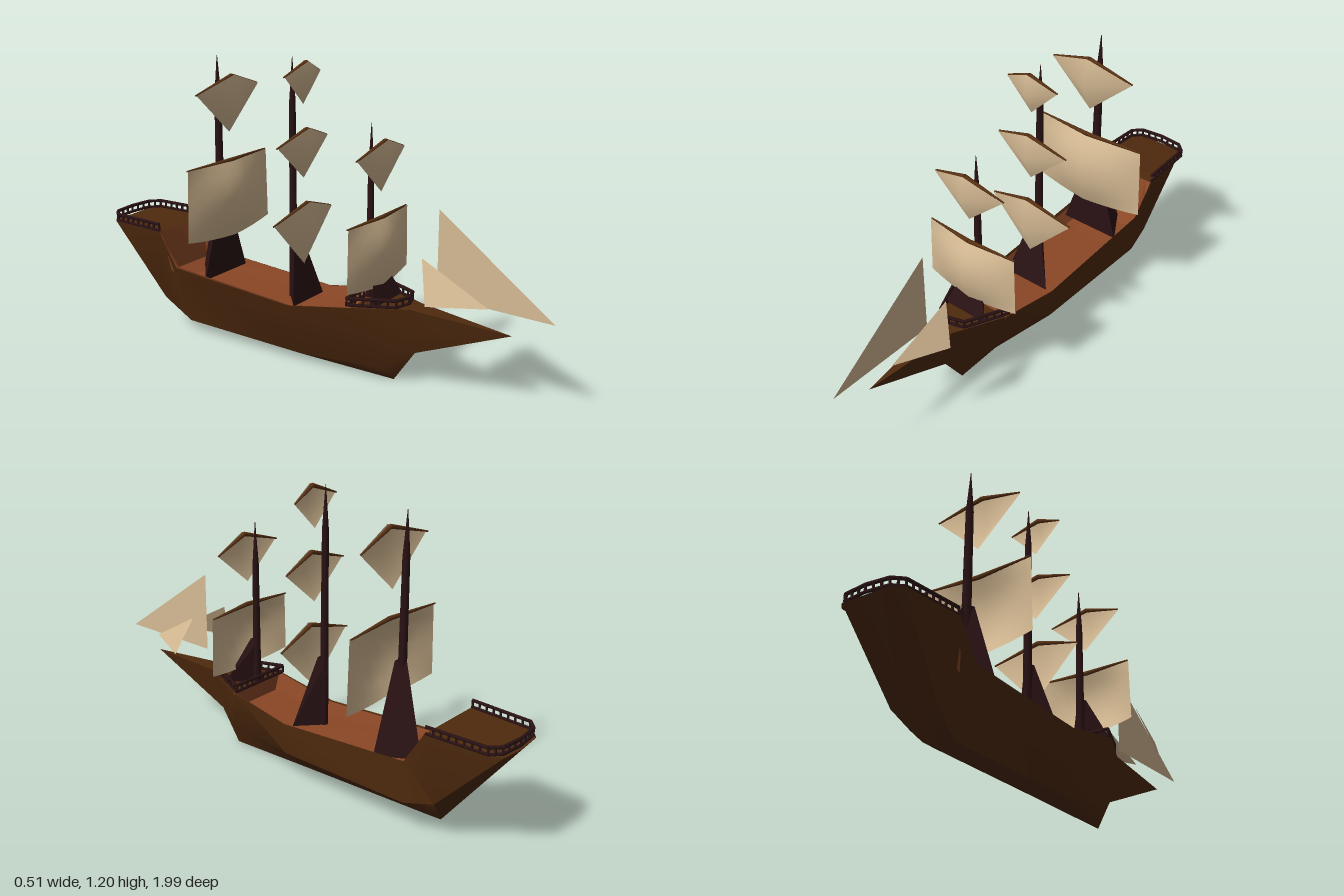
import * as THREE from 'three';
import { toCreasedNormals } from 'three/addons/utils/BufferGeometryUtils.js';

const mat = (name, color) => Object.assign(
  new THREE.MeshStandardMaterial({ color, side: THREE.DoubleSide }), { name });

// Skin a surface across cross-sections that all have the same number of points.
function loft(sections, crease = 0.7, closed = false) {
  const n = sections[0].length, idx = [], last = closed ? n : n - 1;
  for (let i = 0; i < sections.length - 1; i++)
    for (let j = 0; j < last; j++) {
      const k = (j + 1) % n, a = i * n + j, b = i * n + k;
      idx.push(a, b, a + n, b, b + n, a + n);
    }
  const geo = new THREE.BufferGeometry();
  geo.setAttribute('position', new THREE.Float32BufferAttribute(sections.flat(2), 3));
  geo.setIndex(idx);
  return toCreasedNormals(geo, crease);
}

export function createModel() {
  const model = new THREE.Group();
  model.name = 'sailingShip';
  const hullWood = mat('hull wood', 0x4f2a0e);
  const deckWood = mat('deck wood', 0x8b4726);
  const mastWood = mat('dark mast wood', 0x2a1214);
  const yardWood = mat('yard wood', 0x5a3214);
  const canvas = mat('sail canvas', 0xd6bb94);

  const add = (name, geo, material, parent = model) => {
    const m = new THREE.Mesh(geo, material);
    m.name = name;
    parent.add(m);
    return m;
  };
  // Round bar between two points
  const bar = (name, a, b, r0, r1, material, parent) => {
    const p = new THREE.Vector3(...a), q = new THREE.Vector3(...b), d = q.clone().sub(p);
    const m = add(name, new THREE.CylinderGeometry(r1, r0, d.length(), 6), material, parent);
    m.position.copy(p).add(q).multiplyScalar(0.5);
    m.quaternion.setFromUnitVectors(new THREE.Vector3(0, 1, 0), d.normalize());
  };

  // Hull: gunwale, chine, keel, chine, gunwale from bow to stern
  const tip = [0, 0.29, 0.84];
  add('hull', loft([
    [tip, tip, tip, tip, tip],
    [[-0.04, 0.315, 0.45], [-0.02, 0.22, 0.45], [0, 0.13, 0.45], [0.02, 0.22, 0.45], [0.045, 0.315, 0.45]],
    [[-0.14, 0.31, 0.25], [-0.06, 0.06, 0.32], [0, 0, 0.36], [0.07, 0.12, 0.32], [0.135, 0.31, 0.25]],
    [[-0.148, 0.26, -0.03], [-0.07, 0.035, -0.03], [0, 0.014, -0.03], [0.13, 0.13, -0.03], [0.138, 0.26, -0.03]],
    [[-0.15, 0.30, -0.6], [-0.07, 0.045, -0.6], [0, 0.032, -0.62], [0.13, 0.13, -0.6], [0.135, 0.30, -0.6]],
    [[-0.148, 0.44, -0.69], [-0.09, 0.13, -0.72], [0, 0.035, -0.68], [0.11, 0.16, -0.72], [0.145, 0.44, -0.69]],
    [[-0.135, 0.44, -0.95], [-0.1, 0.435, -0.985], [0, 0.43, -0.99], [0.1, 0.435, -0.985], [0.135, 0.44, -0.95]],
  ]), hullWood);

  // Sunken main deck with its bulwarks and both bulkheads
  const deckRow = (z, outer, yOuter, inner, yInner) =>
    [[-outer, yOuter, z], [-inner, yInner, z], [inner, yInner, z], [outer, yOuter, z]];
  add('mainDeck', loft([
    deckRow(0.25, 0.136, 0.31, 0.11, 0.31),
    deckRow(0.249, 0.136, 0.309, 0.11, 0.235),
    deckRow(-0.03, 0.138, 0.259, 0.12, 0.21),
    deckRow(-0.6, 0.135, 0.299, 0.115, 0.24),
    deckRow(-0.66, 0.14, 0.38, 0.115, 0.27),
    deckRow(-0.69, 0.142, 0.439, 0.115, 0.439),
  ], 0.4), deckWood);

  // Raised decks at the two ends
  add('poopDeck', loft([
    [[-0.148, 0.44, -0.69], [0, 0.44, -0.69], [0.145, 0.44, -0.69]],
    [[-0.135, 0.44, -0.95], [0, 0.44, -0.95], [0.135, 0.44, -0.95]],
    [[-0.1, 0.435, -0.985], [0, 0.43, -0.99], [0.1, 0.435, -0.985]],
  ]), hullWood);
  add('foreDeck', loft([
    [tip, tip, tip],
    [[-0.04, 0.315, 0.45], [0, 0.318, 0.45], [0.045, 0.315, 0.45]],
    [[-0.14, 0.31, 0.25], [0, 0.315, 0.25], [0.135, 0.31, 0.25]],
  ]), hullWood);

  // Railings: two bars with posts between
  function railing(name, points, height) {
    const g = new THREE.Group();
    g.name = name;
    model.add(g);
    const up = (p, h) => [p[0], p[1] + h, p[2]];
    for (let i = 0; i < points.length - 1; i++) {
      const a = points[i], b = points[i + 1];
      bar('topRail', up(a, height), up(b, height), 0.007, 0.007, mastWood, g);
      bar('footRail', up(a, 0.004), up(b, 0.004), 0.006, 0.006, mastWood, g);
      const count = Math.max(2, Math.round(new THREE.Vector3(...a).distanceTo(new THREE.Vector3(...b)) / 0.03));
      for (let k = 0; k < count; k++) {
        const p = a.map((v, c) => v + (b[c] - v) * k / count);
        bar('post', p, up(p, height), 0.005, 0.005, mastWood, g);
      }
    }
  }
  railing('poopRail', [[-0.143, 0.44, -0.695], [-0.132, 0.44, -0.94], [-0.095, 0.44, -0.975],
    [0, 0.44, -0.985], [0.095, 0.44, -0.975], [0.132, 0.44, -0.94], [0.143, 0.44, -0.695]], 0.03);
  railing('foreRail', [[-0.135, 0.312, 0.23], [-0.06, 0.315, 0.4], [0, 0.316, 0.42],
    [0.06, 0.315, 0.4], [0.135, 0.312, 0.23], [-0.135, 0.312, 0.23]], 0.03);

  // Masts with a three-sided shroud flaring out at the foot
  function mast(name, z, base, top, r, shroud) {
    const g = new THREE.Group();
    g.name = name;
    model.add(g);
    const shoulder = top - 0.17;
    add('pole', new THREE.LatheGeometry([[r, base], [r * 0.75, shoulder], [0.001, top]]
      .map(p => new THREE.Vector2(...p)), 6), mastWood, g).position.z = z;
    const { y, w, front, back, backX } = shroud;
    add('shroud', loft([
      [[-r, y, z + r], [r, y, z + r], [0, y, z - r]],
      [[-w, base, front], [w, base, front], [backX, base, back]],
    ], 0.1, true), mastWood, g);
  }
  mast('foreMast', 0.245, 0.315, 0.985, 0.017, { y: 0.5, w: 0.1, front: 0.33, back: 0.25, backX: 0 });
  mast('mainMast', -0.113, 0.24, 1.195, 0.018, { y: 0.52, w: 0.1, front: -0.04, back: -0.13, backX: 0 });
  mast('mizzenMast', -0.482, 0.27, 1.17, 0.02, { y: 0.61, w: 0.13, front: -0.46, back: -0.61, backX: 0.04 });

  // Yard: two tapering arms swept back from the middle
  function yard(w, yMid, yEnd, zMid, zEnd, g) {
    for (const s of [-1, 1])
      bar('yard', [0, yMid, zMid], [s * w, yEnd, zEnd], 0.009, 0.003, yardWood, g);
  }

  // Kite-shaped sail with a belly
  function kiteSail(name, top, bottom, w, drop, zf, deep) {
    const g = new THREE.Group();
    g.name = name;
    model.add(g);
    const head = [0, top, zf - deep * 0.4], foot = [0, bottom, zf - deep];
    const belly = [0, bottom + (top - bottom) * 0.52, zf];
    add('sail', loft([
      [[-w, top - drop, zf - deep], [-w, top - drop, zf - deep], [-w, top - drop, zf - deep]],
      [head, belly, foot],
      [[w, top - drop, zf - deep], [w, top - drop, zf - deep], [w, top - drop, zf - deep]],
    ], 1.2), canvas, g);
    yard(w, top - 0.005, top - drop, zf - deep * 0.7, zf - deep - 0.006, g);
  }
  kiteSail('foreTopsail', 0.93, 0.733, 0.162, 0.055, 0.335, 0.045);
  kiteSail('mainLowerSail', 0.64, 0.385, 0.19, 0.06, -0.012, 0.048);
  kiteSail('mainTopsail', 0.93, 0.733, 0.162, 0.055, -0.016, 0.045);
  kiteSail('mainTopgallant', 1.185, 1.02, 0.115, 0.05, -0.02, 0.042);
  kiteSail('mizzenTopsail', 1.1, 0.868, 0.19, 0.06, -0.375, 0.052);

  // Broad four-cornered sail bulging forward
  function squareSail(name, top, bottom, wTop, wBottom, zf, deep) {
    const g = new THREE.Group();
    g.name = name;
    model.add(g);
    const geo = new THREE.PlaneGeometry(2, 2, 8, 6), p = geo.attributes.position;
    for (let i = 0; i < p.count; i++) {
      const u = p.getX(i), v = p.getY(i), t = (v + 1) / 2;
      const w = wBottom + (wTop - wBottom) * t;
      const sag = t < 0.5 ? 0.02 * (1 - u * u) * (1 - 2 * t) : 0;
      const z = zf - deep + deep * (1 - Math.abs(u)) * 0.4 + deep * 0.6 * (1 - u * u) * (1 - v * v);
      p.setXYZ(i, u * w, bottom + (top - bottom) * t - sag, z);
    }
    geo.computeVertexNormals();
    add('sail', geo, canvas, g);
    yard(wTop, top + 0.003, top, zf - deep * 0.75, zf - deep - 0.006, g);
  }
  squareSail('foreLowerSail', 0.632, 0.39, 0.205, 0.211, 0.34, 0.058);
  squareSail('mizzenLowerSail', 0.752, 0.463, 0.245, 0.255, -0.365, 0.07);

  // Triangular headsails over the bow
  const triangle = (name, a, b, c) => add(name, loft([[a, b], [c, c]]), canvas);
  triangle('jib', [0, 0.367, 1], [0, 0.705, 0.535], [0, 0.375, 0.535]);
  for (const s of [-1, 1])
    triangle(s > 0 ? 'leftStaysail' : 'rightStaysail',
      [s * 0.09, 0.543, 0.52], [s * 0.15, 0.388, 0.57], [s * 0.06, 0.395, 0.775]);

  return model;
}
